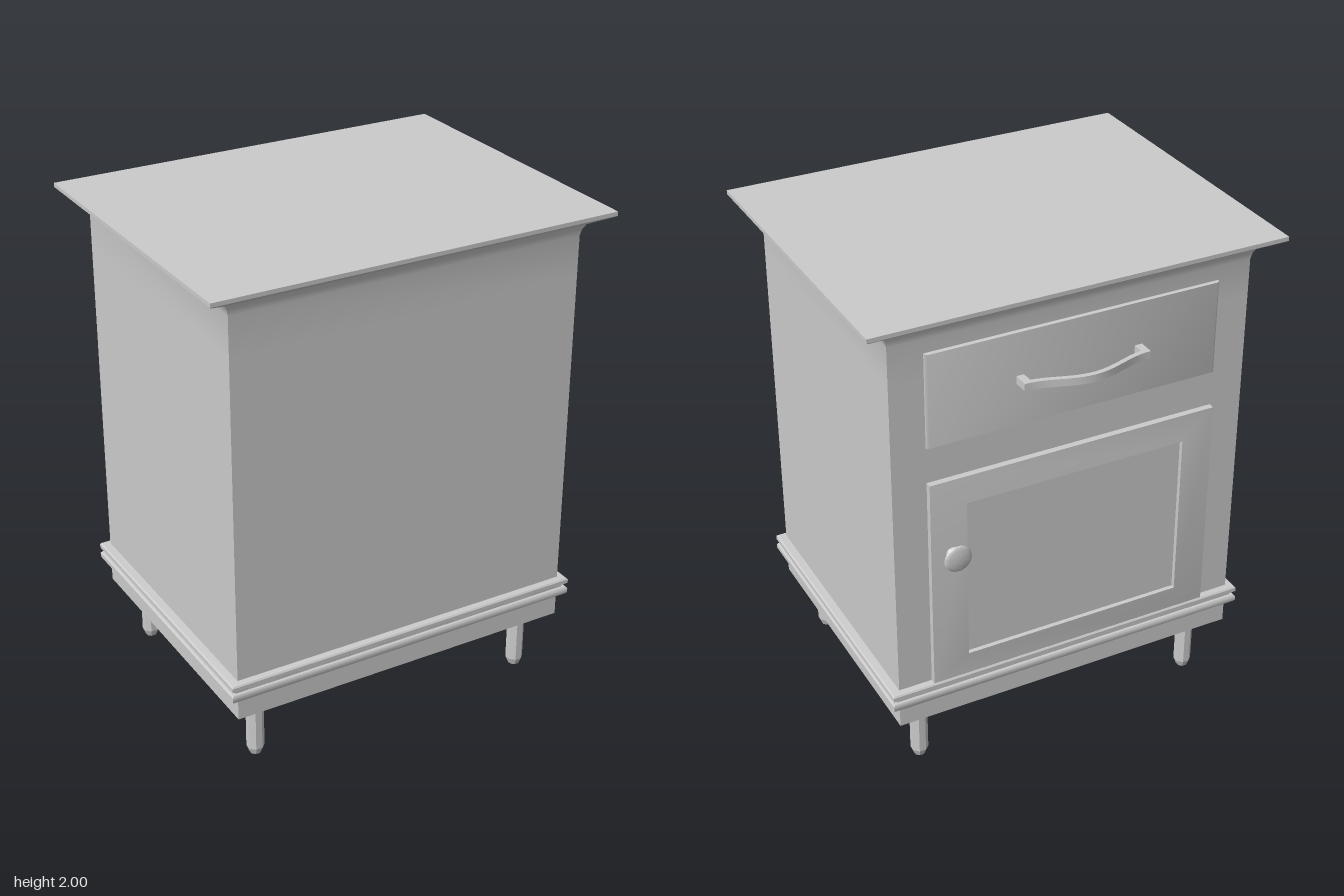
import * as THREE from 'three';
import { toCreasedNormals } from 'three/addons/utils/BufferGeometryUtils.js';

const MATERIAL = new THREE.MeshStandardMaterial({ color: 0xcccccc });
const CENTRE_Z = 0.025; // middle of the cabinet
const BACK_Z = -0.545; // face that carries the drawer and door

function addPart(group, name, geometry, x, y, z) {
  const mesh = new THREE.Mesh(geometry, MATERIAL);
  mesh.name = name;
  mesh.position.set(x, y, z);
  group.add(mesh);
  return mesh;
}

// Turned profile of [radius, height] pairs
function turned(profile, sides, crease = 0.6) {
  const points = profile.map(([r, y]) => new THREE.Vector2(r, y));
  return toCreasedNormals(new THREE.LatheGeometry(points, sides, Math.PI / sides), crease);
}

// Rectangular stack: profile of [scale, height] pairs around a half-width and half-depth
function stacked(profile, halfX, halfZ) {
  const points = profile.map(([s, y]) => new THREE.Vector2(s, y));
  const geometry = new THREE.LatheGeometry(points, 4, Math.PI / 4);
  geometry.scale(halfX * Math.SQRT2, 1, halfZ * Math.SQRT2);
  return toCreasedNormals(geometry, 0.6);
}

// Bow handle: two posts joined by a bulging bar
function handleGeometry() {
  const half = 0.255, thick = 0.02, steps = 20;
  const bow = (x) => 0.075 + 0.055 * Math.cos((x / half) * Math.PI / 2) ** 2;
  const shape = new THREE.Shape();
  shape.moveTo(-half, 0);
  shape.lineTo(-half + 0.03, 0);
  const inner = half - 0.03;
  for (let i = 0; i <= steps; i++) {
    const x = -inner + (2 * inner * i) / steps;
    shape.lineTo(x, bow(x) - thick);
  }
  shape.lineTo(inner, 0);
  shape.lineTo(half, 0);
  for (let i = 0; i <= steps; i++) {
    const x = half - (2 * half * i) / steps;
    shape.lineTo(x, bow(x));
  }
  shape.closePath();
  const geometry = new THREE.ExtrudeGeometry(shape, { depth: 0.03, bevelEnabled: false });
  geometry.rotateX(-Math.PI / 2);
  return toCreasedNormals(geometry, 0.5);
}

export function createModel() {
  const group = new THREE.Group();
  group.name = 'bedsideCabinet';

  // Base with chamfered underside
  addPart(group, 'base', stacked([
    [0, 0.215], [0.9, 0.215], [1, 0.255], [1, 0.36], [0, 0.36],
  ], 0.725, 0.57), 0, 0, CENTRE_Z);

  // Double moulding around the base
  addPart(group, 'baseMoulding', stacked([
    [0.99, 0.35], [1.04, 0.353], [1.048, 0.36], [1.048, 0.378], [1.04, 0.385], [1.022, 0.385],
    [1.022, 0.4], [1.04, 0.4], [1.048, 0.404], [1.048, 0.42], [1.04, 0.426], [0.99, 0.43],
  ], 0.725, 0.57), 0, 0, CENTRE_Z);

  // Body flaring through a cove into the table top
  addPart(group, 'bodyAndTop', stacked([
    [1, 0.42], [1, 1.75], [1, 1.9], [1.008, 1.925], [1.025, 1.945],
    [1.138, 1.98], [1.144, 1.984], [1.144, 2], [0, 2],
  ], 0.725, 0.57), 0, 0, CENTRE_Z);

  // Legs: eight-sided posts with tapered feet
  const flat = 0.0325 / Math.cos(Math.PI / 8);
  const legGeometry = turned([[0, 0], [flat * 0.65, 0], [flat, 0.03], [flat, 0.22]], 8, 0.3);
  for (const x of [-0.605, 0.605]) {
    for (const z of [-0.47, 0.47]) addPart(group, 'leg', legGeometry, x, 0, CENTRE_Z + z);
  }

  // Drawer front and its handle
  const drawer = stacked([[1, 0], [1, 0.008], [0.985, 0.013], [0, 0.013]], 0.59, 0.19);
  drawer.rotateX(-Math.PI / 2);
  addPart(group, 'drawerFront', drawer, 0, 1.655, BACK_Z);
  addPart(group, 'drawerHandle', handleGeometry(), -0.015, 1.64, BACK_Z);

  // Door: sloping frame around a recessed panel
  const door = stacked([
    [1, 0], [1, 0.025], [0.765, 0.04], [0.765, 0.022], [0, 0.022],
  ], 0.59, 0.445);
  door.rotateX(-Math.PI / 2);
  addPart(group, 'door', door, 0, 0.875, BACK_Z);

  // Mushroom door knob
  const knob = turned([
    [0.03, 0.025], [0.028, 0.038], [0.025, 0.046], [0.032, 0.056], [0.048, 0.066],
    [0.055, 0.071], [0.053, 0.076], [0.04, 0.08], [0.02, 0.083], [0, 0.084],
  ], 28, 0.9);
  knob.rotateX(-Math.PI / 2);
  addPart(group, 'doorKnob', knob, 0.505, 1.01, BACK_Z);

  return group;
}
